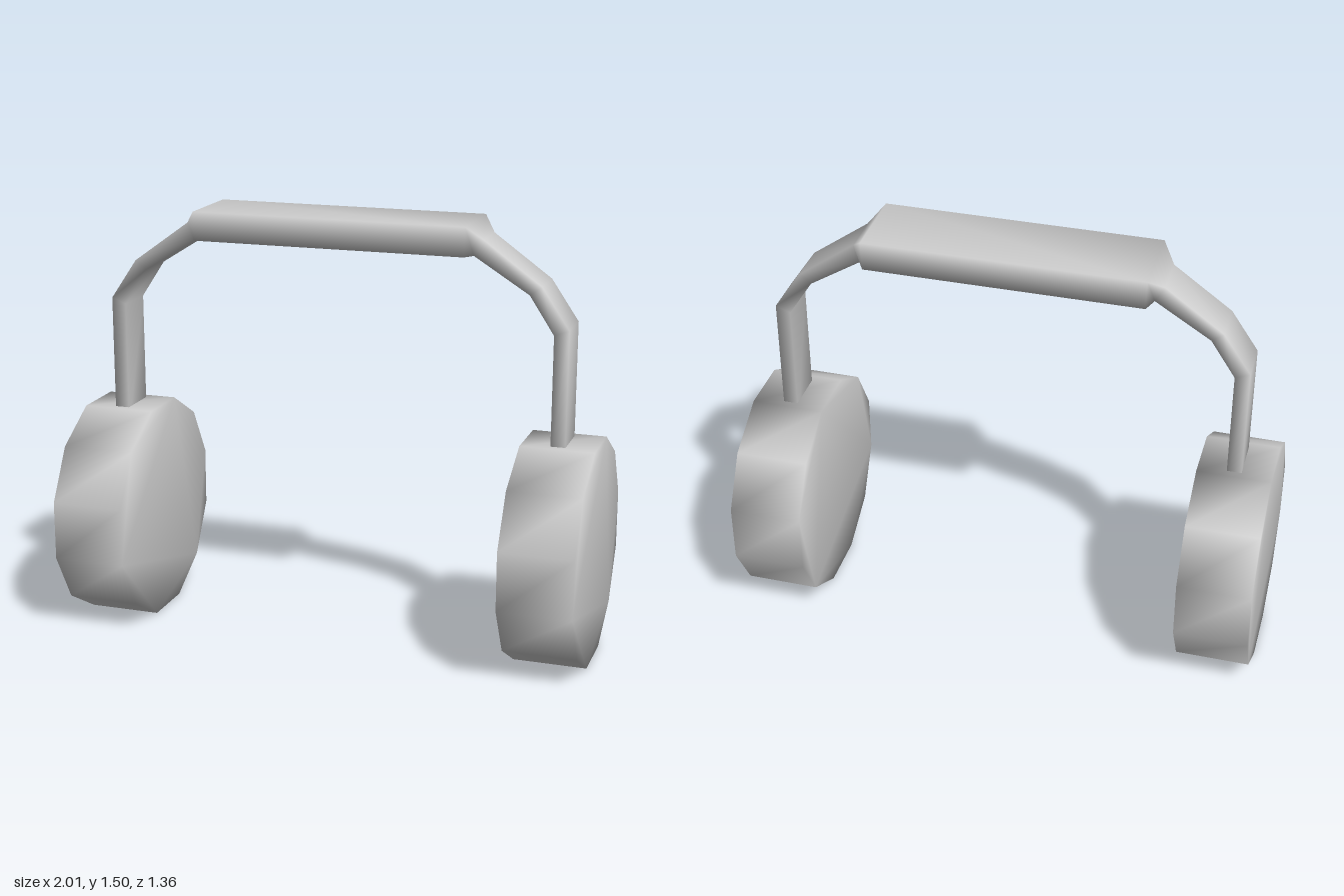
import * as THREE from 'three';
import { mergeVertices } from 'three/addons/utils/BufferGeometryUtils.js';

const material = new THREE.MeshStandardMaterial({ color: 0xcccccc });

// Share corner vertices so shading is smooth over every edge
function smooth(geometry) {
  geometry.deleteAttribute('normal');
  geometry.deleteAttribute('uv');
  const merged = mergeVertices(geometry, 1e-4);
  merged.computeVertexNormals();
  return merged;
}

// Twelve-sided disc with a flat top and bottom, axis along x
function earCupGeometry() {
  const apothem = 0.385, thickness = 0.256;
  const radius = apothem / Math.cos(Math.PI / 12);
  const points = [];
  for (let i = 0; i < 12; i++) {
    const a = (i + 0.5) * Math.PI / 6;
    points.push(new THREE.Vector2(radius * Math.cos(a), radius * Math.sin(a)));
  }
  const geometry = new THREE.ExtrudeGeometry(new THREE.Shape(points), { depth: thickness, bevelEnabled: false });
  geometry.translate(0, 0, -thickness / 2).rotateY(Math.PI / 2);
  return smooth(geometry);
}

// Rectangular cross-sections swept from one arm, over the pad, to the other arm
function headbandGeometry() {
  // outer x, outer y, inner x, inner y, half width
  const half = [
    [0.823, 0.70, 0.772, 0.70, 0.075],
    [0.823, 1.17, 0.772, 1.15, 0.075],
    [0.728, 1.31, 0.687, 1.28, 0.075],
    [0.527, 1.455, 0.495, 1.40, 0.075],
    [0.48, 1.505, 0.477, 1.405, 0.138],
  ];
  const mirrored = half.map(([ox, oy, ix, iy, w]) => [-ox, oy, -ix, iy, w]);
  const sections = [...mirrored, ...half.reverse()];
  const positions = [], index = [];
  for (const [ox, oy, ix, iy, w] of sections) {
    positions.push(ox, oy, w, ox, oy, -w, ix, iy, -w, ix, iy, w);
  }
  for (let s = 0; s < sections.length - 1; s++) {
    for (let k = 0; k < 4; k++) {
      const a = s * 4 + k, b = s * 4 + (k + 1) % 4;
      index.push(a, a + 4, b, b, a + 4, b + 4);
    }
  }
  const e = (sections.length - 1) * 4;
  index.push(0, 1, 2, 0, 2, 3, e, e + 2, e + 1, e, e + 3, e + 2);
  const geometry = new THREE.BufferGeometry();
  geometry.setAttribute('position', new THREE.Float32BufferAttribute(positions, 3));
  geometry.setIndex(index);
  geometry.computeVertexNormals();
  return geometry;
}

export function createModel() {
  const model = new THREE.Group();
  model.name = 'headphones';

  const headband = new THREE.Mesh(headbandGeometry(), material);
  headband.name = 'headband';
  model.add(headband);

  // Ear cups
  const cup = earCupGeometry();
  for (const side of [-1, 1]) {
    const mesh = new THREE.Mesh(cup, material);
    mesh.name = side > 0 ? 'leftEarCup' : 'rightEarCup';
    mesh.position.set(side * 0.8, 0.385, 0);
    model.add(mesh);
  }

  // The whole piece stands turned about the vertical
  model.rotation.y = -THREE.MathUtils.degToRad(20);
  const root = new THREE.Group();
  root.add(model);
  return root;
}
